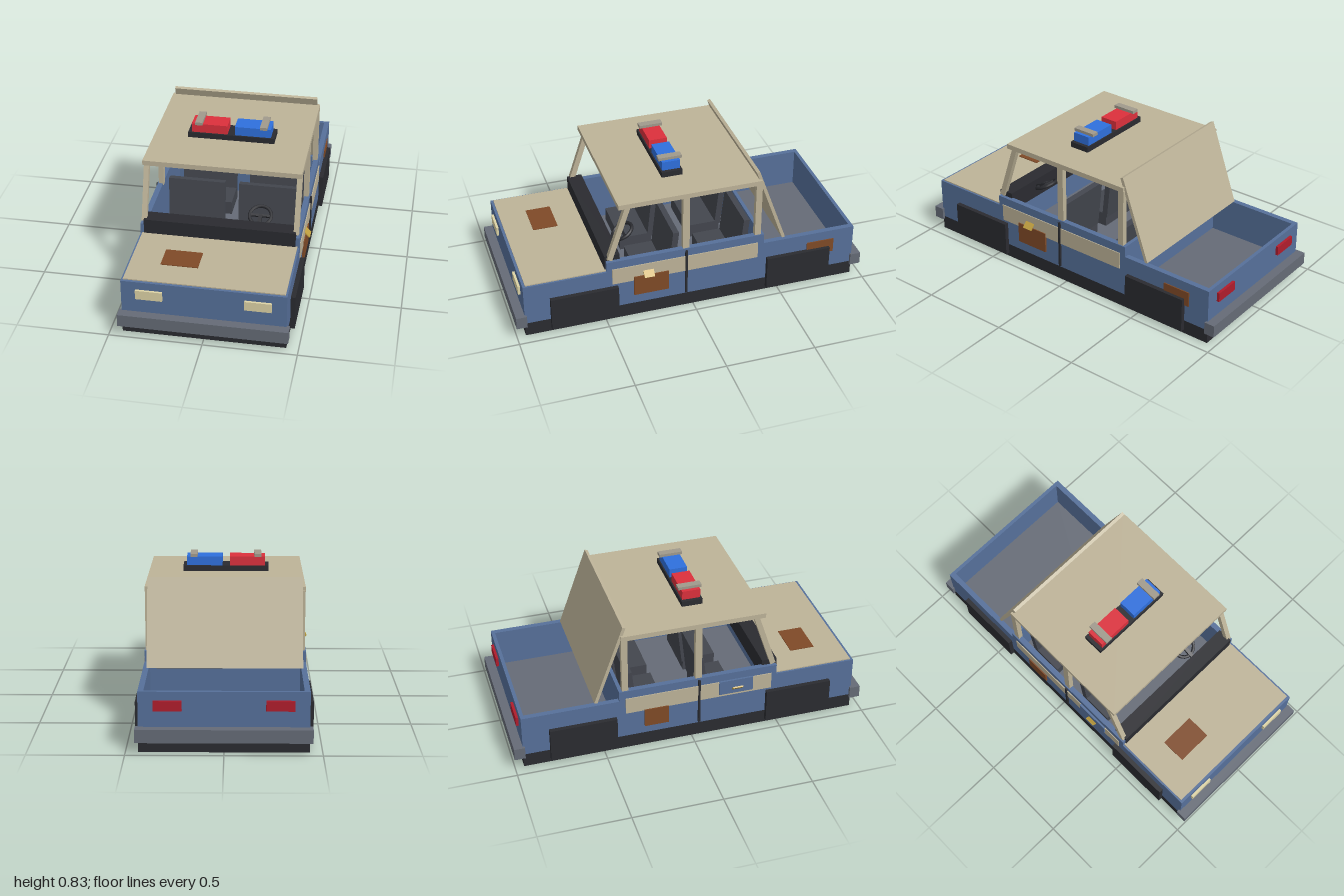
import * as THREE from 'three';

const mat = (color) => new THREE.MeshStandardMaterial({ color });

export function createModel() {
  const model = new THREE.Group();
  const blue = mat(0x56709a), cream = mat(0xbdb398), dark = mat(0x2a2b30), grey = mat(0x656b76);
  const rust = mat(0x7f4a27), red = mat(0xdc303c), lampBlue = mat(0x2f70dd), gold = mat(0xc0a040);
  const headlight = mat(0xddd3a5), tail = mat(0xb01c2c), seatGrey = mat(0x43464e), strapGrey = mat(0xa09a8c);

  // Box given by its min/max along each axis
  function box(name, m, [x0, x1], [y0, y1], [z0, z1], parent = model) {
    const mesh = new THREE.Mesh(new THREE.BoxGeometry(x1 - x0, y1 - y0, z1 - z0), m);
    mesh.position.set((x0 + x1) / 2, (y0 + y1) / 2, (z0 + z1) / 2);
    mesh.name = name;
    parent.add(mesh);
    return mesh;
  }
  // Slanted slab running between two points [y, z]
  function slab(name, m, x, width, thick, [ya, za], [yb, zb]) {
    const dy = yb - ya, dz = zb - za;
    const mesh = new THREE.Mesh(new THREE.BoxGeometry(width, Math.hypot(dy, dz), thick), m);
    mesh.position.set(x, (ya + yb) / 2, (za + zb) / 2);
    mesh.rotation.x = Math.atan2(dz, dy);
    mesh.name = name;
    model.add(mesh);
    return mesh;
  }
  const side = (s, a, b) => (s > 0 ? [a, b] : [-b, -a]);

  // Lower body
  box('chassis', dark, [-0.435, 0.435], [0, 0.08], [-0.95, 0.95]);
  box('floor', grey, [-0.405, 0.405], [0.08, 0.1], [-0.93, 0.49]);
  box('frontBody', blue, [-0.435, 0.435], [0.08, 0.32], [0.49, 0.95]);
  box('hoodPanel', cream, [-0.425, 0.425], [0.315, 0.326], [0.47, 0.935]);
  box('hoodRust', rust, [-0.26, -0.06], [0.32, 0.33], [0.64, 0.78]);
  box('tailgate', blue, [-0.405, 0.405], [0.08, 0.32], [-0.95, -0.93]);
  box('bulkhead', blue, [-0.405, 0.405], [0.08, 0.38], [-0.41, -0.39]);
  box('dashboard', dark, [-0.415, 0.415], [0.3, 0.41], [0.41, 0.495]);
  box('frontBumper', grey, [-0.45, 0.45], [0.065, 0.135], [0.94, 1]);
  box('rearBumper', grey, [-0.45, 0.45], [0.065, 0.135], [-1, -0.94]);

  // Roof and sloping rear panel
  box('roof', cream, [-0.43, 0.43], [0.703, 0.731], [-0.39, 0.415]);
  slab('rearPanel', cream, 0, 0.83, 0.018, [0.32, -0.535], [0.778, -0.37]);

  // Parts on both sides
  for (const s of [1, -1]) {
    box('bedWall', blue, side(s, 0.405, 0.435), [0.08, 0.32], [-0.95, -0.41]);
    box('cabinWall', blue, side(s, 0.405, 0.435), [0.08, 0.38], [-0.41, 0.49]);
    box('sideStripe', cream, side(s, 0.43, 0.44), [0.235, 0.332], [-0.375, 0.46]);
    box('doorSeam', dark, side(s, 0.43, 0.446), [0.09, 0.37], [0.035, 0.047]);
    box('frontWheel', dark, side(s, 0.42, 0.46), [0.022, 0.22], [0.43, 0.808]);
    box('rearWheel', dark, side(s, 0.42, 0.46), [0.022, 0.22], [-0.802, -0.428]);
    box('headlight', headlight, side(s, 0.215, 0.357), [0.222, 0.275], [0.94, 0.963]);
    box('tailLight', tail, side(s, 0.212, 0.358), [0.222, 0.275], [-0.965, -0.94]);

    slab('frontPillar', cream, s * 0.415, 0.028, 0.03, [0.39, 0.47], [0.715, 0.362]);
    box('middlePillar', cream, side(s, 0.401, 0.429), [0.37, 0.71], [0.02, 0.058]);
    box('rearPillar', cream, side(s, 0.401, 0.429), [0.37, 0.71], [-0.392, -0.357]);

    // Door handle, tilted the same way on both sides
    const handle = box('doorHandle', gold, [-0.021, 0.021], [-0.004, 0.004], [0.228, 0.286]);
    handle.position.x = s * 0.452;
    handle.position.y = s > 0 ? 0.273 : 0.285;
    handle.rotation.z = -0.8;

    // Seats
    for (const z of [0.075, -0.335]) {
      slab('seatBack', seatGrey, s * 0.2, 0.32, 0.034, [0.16, z + 0.03], [0.44, z]);
      box('seatCushion', seatGrey, side(s, 0.04, 0.36), [0.1, 0.18], [z + 0.02, z + 0.21]);
    }
  }

  // Worn patches, different on each side
  box('doorRust', rust, [0.43, 0.446], [0.14, 0.26], [0.143, 0.34]);
  box('bedRust', rust, [0.43, 0.441], [0.18, 0.265], [-0.83, -0.67]);
  box('rearDoorRust', rust, [-0.446, -0.43], [0.13, 0.24], [-0.27, -0.135]);
  box('stripePatch', blue, [-0.446, -0.43], [0.25, 0.335], [0.155, 0.35]);

  // Steering wheel
  const wheel = new THREE.Group();
  wheel.name = 'steeringWheel';
  wheel.position.set(0.2, 0.402, 0.335);
  wheel.rotation.x = -1.08;
  const rim = new THREE.Mesh(new THREE.TorusGeometry(0.06, 0.01, 8, 20), dark);
  rim.name = 'steeringRim';
  wheel.add(rim);
  box('steeringSpoke', dark, [-0.06, 0.06], [-0.007, 0.007], [-0.006, 0.006], wheel);
  model.add(wheel);
  slab('steeringColumn', dark, 0.2, 0.02, 0.02, [0.36, 0.43], [0.402, 0.335]);

  // Roof light bar
  const bar = new THREE.Group();
  bar.name = 'lightBar';
  model.add(bar);
  box('lightBarBase', dark, [-0.24, 0.238], [0.73, 0.762], [0, 0.118], bar);
  box('redLight', red, [-0.22, -0.022], [0.762, 0.813], [0.008, 0.11], bar);
  box('blueLight', lampBlue, [0.019, 0.218], [0.762, 0.813], [0.008, 0.11], bar);
  for (const s of [1, -1]) box('lightStrap', strapGrey, side(s, 0.159, 0.199), [0.812, 0.829], [-0.008, 0.124], bar);

  return model;
}
